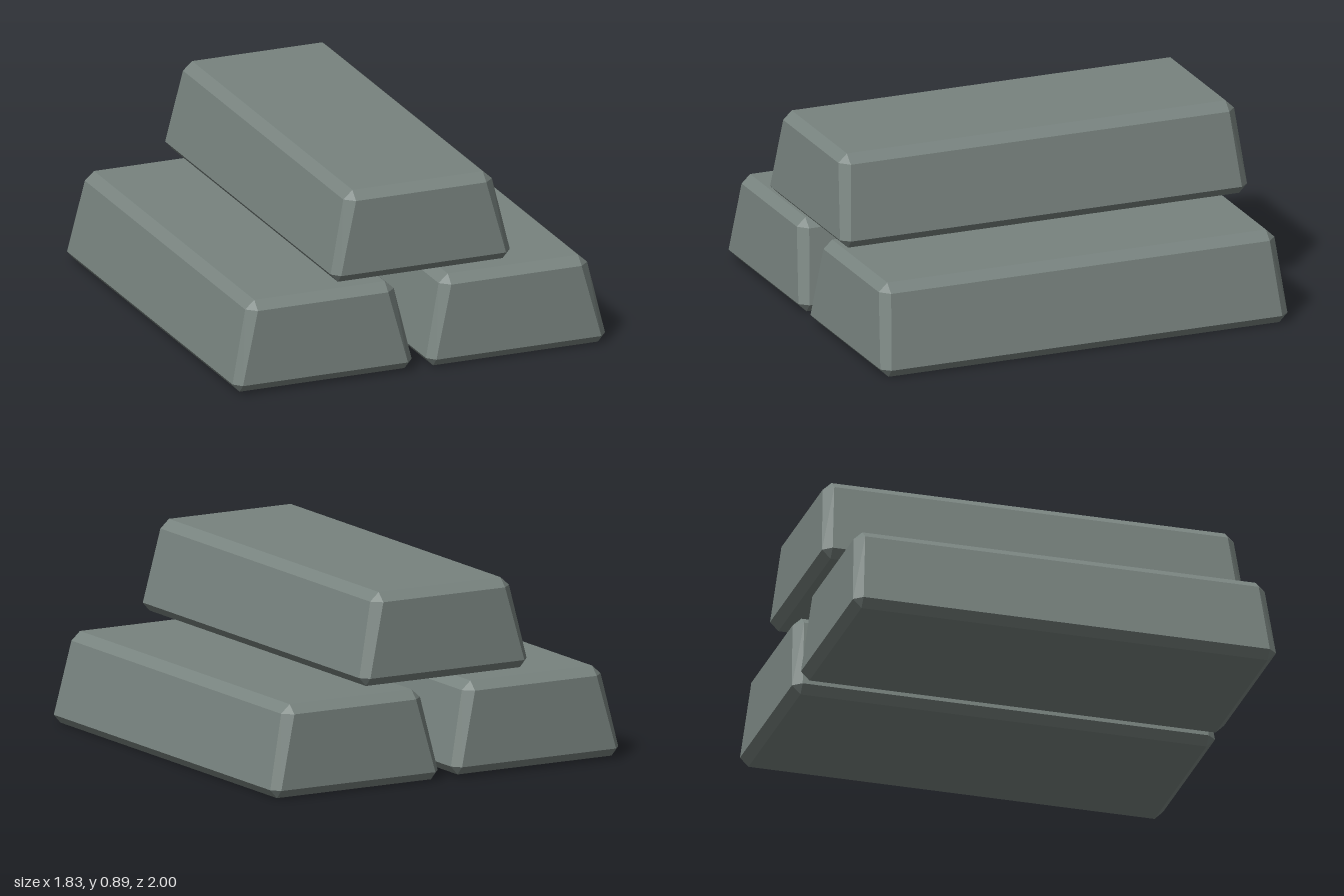
import * as THREE from 'three';
import { ConvexGeometry } from 'three/addons/geometries/ConvexGeometry.js';

// Bevelled, tapered bar: rings of [y, half width, half length], mirrored in x and z
function ingotGeometry() {
  const rings = [
    [0, 0.405, 0.96],                        // underside
    [0.04, 0.44, 0.96], [0.04, 0.405, 1.0],  // widest edge, corners cut
    [0.38, 0.365, 0.93], [0.38, 0.32, 0.972], // shoulder, corners cut
    [0.42, 0.32, 0.93],                      // top face
  ];
  const points = [];
  for (const [y, x, z] of rings)
    for (const sx of [-1, 1])
      for (const sz of [-1, 1]) points.push(new THREE.Vector3(sx * x, y, sz * z));
  return new ConvexGeometry(points);
}

export function createModel() {
  const model = new THREE.Group();
  model.name = 'ingotStack';
  const metal = new THREE.MeshStandardMaterial({ color: 0x78837f, flatShading: true });
  metal.name = 'greyMetal';
  const geometry = ingotGeometry();

  // Two bars below, one resting above the gap
  const bars = [
    ['lowerRightIngot', -0.476, 0.01],
    ['lowerLeftIngot', 0.474, 0.003],
    ['upperIngot', 0.006, 0.471],
  ];
  for (const [name, x, y] of bars) {
    const bar = new THREE.Mesh(geometry, metal);
    bar.name = name;
    bar.position.set(x, y, 0);
    model.add(bar);
  }
  return model;
}
